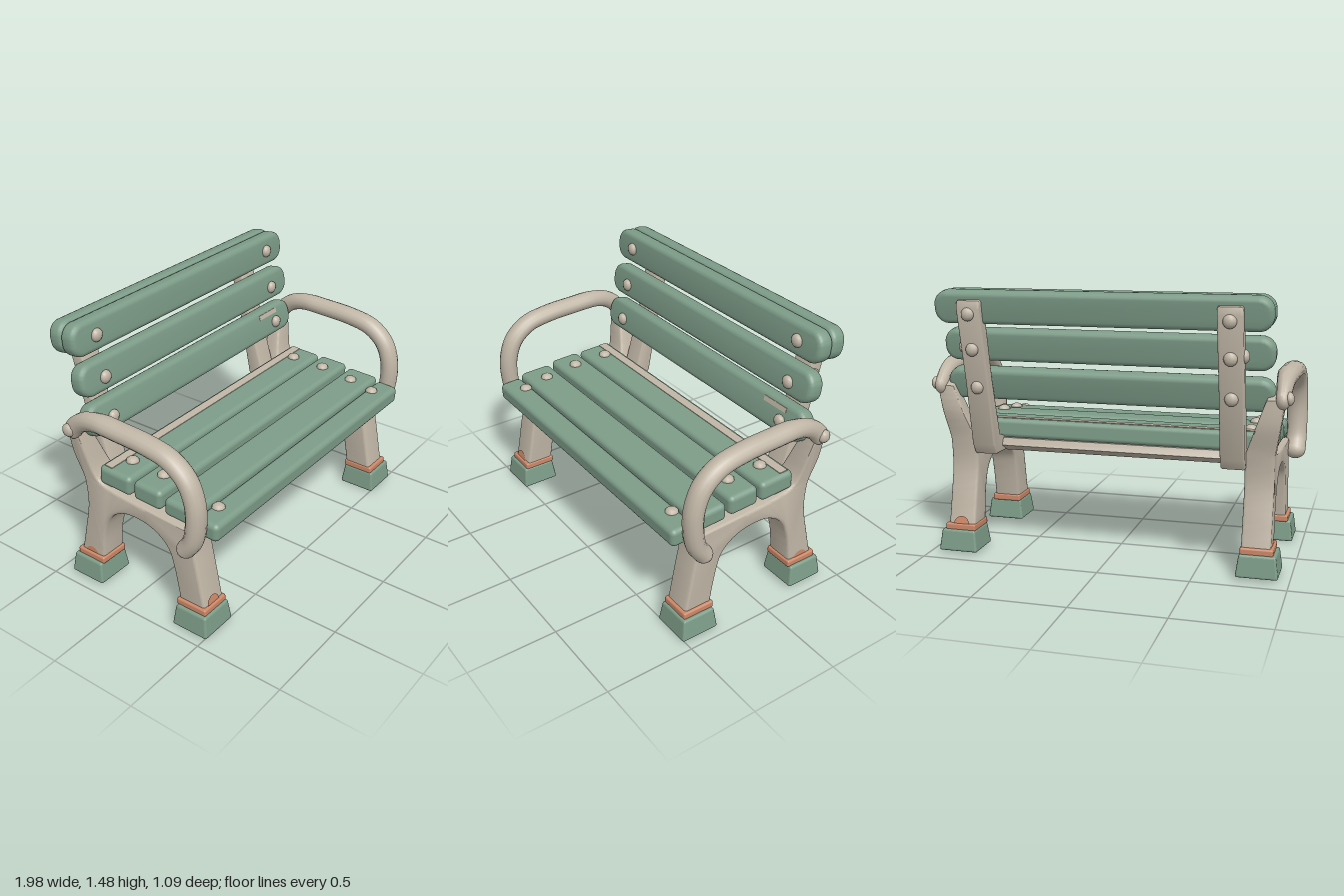
import * as THREE from 'three';
import { toCreasedNormals } from 'three/addons/utils/BufferGeometryUtils.js';
import { RoundedBoxGeometry } from 'three/addons/geometries/RoundedBoxGeometry.js';

const material = (name, color) => {
  const m = new THREE.MeshStandardMaterial({ color });
  m.name = name;
  return m;
};

export function createModel() {
  const green = material('green paint', 0x7d9c88);
  const beige = material('beige iron', 0xc0b6a6);
  const orange = material('orange trim', 0xcd8868);
  const bench = new THREE.Group();
  bench.name = 'bench';

  const add = (name, geometry, mat, x = 0, y = 0, z = 0, parent = bench) => {
    const mesh = new THREE.Mesh(geometry, mat);
    mesh.name = name;
    mesh.position.set(x, y, z);
    parent.add(mesh);
    return mesh;
  };

  // Extrude a flat shape with rounded edges, centred on its thickness
  const slab = (shape, depth, bevel) => {
    const geo = new THREE.ExtrudeGeometry(shape, {
      depth: depth - 2 * bevel, curveSegments: 8,
      bevelEnabled: true, bevelSize: bevel, bevelThickness: bevel, bevelOffset: -bevel, bevelSegments: 3,
    });
    return geo.translate(0, 0, bevel - depth / 2);
  };
  // Side profile given as (z, y), thickness along x
  const sideSlab = (shape, depth, bevel) => slab(shape, depth, bevel).rotateY(-Math.PI / 2);
  const vecs = (list) => list.map(([a, b]) => new THREE.Vector2(a, b));

  // Side frame: both legs, the arch and the upright that carries the armrest
  const frameShape = new THREE.Shape();
  frameShape.moveTo(0.468, 0.14);
  frameShape.splineThru(vecs([[0.43, 0.34], [0.4, 0.5], [0.405, 0.59]]));
  frameShape.lineTo(0.1, 0.605);
  frameShape.splineThru(vecs([[-0.1, 0.62], [-0.2, 0.645], [-0.24, 0.7], [-0.27, 0.83], [-0.3, 0.98]]));
  frameShape.lineTo(-0.355, 0.94);
  frameShape.splineThru(vecs([[-0.355, 0.8], [-0.32, 0.64], [-0.31, 0.48], [-0.345, 0.3], [-0.38, 0.15]]));
  frameShape.lineTo(-0.22, 0.15);
  frameShape.splineThru(vecs([[-0.2, 0.32], [-0.155, 0.44], [-0.07, 0.505], [0.03, 0.52], [0.14, 0.5],
    [0.23, 0.435], [0.27, 0.33], [0.306, 0.14]]));

  // Back post with a bent foot under the seat
  const postShape = new THREE.Shape(vecs([[-0.15, 0.56], [-0.325, 0.565], [-0.36, 0.62], [-0.43, 0.98],
    [-0.53, 1.38], [-0.52, 1.42], [-0.475, 1.43], [-0.45, 1.39], [-0.36, 0.98], [-0.27, 0.67], [-0.15, 0.63]]));
  const postGeo = toCreasedNormals(sideSlab(postShape, 0.13, 0.012), 0.6);

  // Armrest path in the side plane
  const armCurve = new THREE.CatmullRomCurve3([[0.395, 0.525], [0.435, 0.585], [0.455, 0.69], [0.45, 0.81],
    [0.405, 0.92], [0.31, 0.995], [0.17, 1.025], [0, 1.035], [-0.15, 1.037], [-0.24, 1.015],
    [-0.3, 0.975], [-0.33, 0.94]].map(([z, y]) => new THREE.Vector3(0, y, z)));
  const armX = (z) => (z < -0.1 ? Math.max(0.75, 1.18 + (z + 0.1) * 1.9) : 1.18);

  const boltGeo = new THREE.SphereGeometry(0.036, 10, 8);
  const bolt = (x, y, z, axis = 'z') => {
    const b = add('bolt', boltGeo, beige, x, y, z);
    b.scale[axis] = 0.7;
  };

  // Tapered box by pulling in the upper corners
  const taper = (w, h, d, k) => {
    const geo = new RoundedBoxGeometry(w, h, d, 2, 0.012);
    const p = geo.attributes.position;
    for (let i = 0; i < p.count; i++) {
      const f = 1 - k * (p.getY(i) / h + 0.5);
      p.setX(i, p.getX(i) * f);
      p.setZ(i, p.getZ(i) * f);
    }
    geo.computeVertexNormals();
    return geo;
  };
  const footGeo = taper(0.225, 0.12, 0.22, 0.14);
  const trimGeo = new RoundedBoxGeometry(0.175, 0.04, 0.185, 2, 0.01);
  const patchGeo = new THREE.CircleGeometry(0.045, 16, 0, Math.PI);

  for (const s of [1, -1]) {
    // The upright leans outwards above the seat
    const frameGeo = sideSlab(frameShape, 0.155, 0.015);
    const p = frameGeo.attributes.position;
    for (let i = 0; i < p.count; i++) {
      const t = Math.max(0, p.getY(i) - 0.64);
      p.setX(i, p.getX(i) * (1 - 1.2 * t) + s * (0.82 + 0.27 * t));
    }
    add('sideFrame', toCreasedNormals(frameGeo, 0.6), beige);

    add('backPost', postGeo, beige, s * 0.685);

    // Armrest, thinner towards the back, with round ends
    const armGeo = new THREE.TubeGeometry(armCurve, 48, 0.05, 14, false);
    const a = armGeo.attributes.position;
    for (let i = 0; i < a.count; i++) a.setX(i, a.getX(i) * armX(a.getZ(i)));
    add('armrest', toCreasedNormals(armGeo, 1), beige, s * 0.933);
    for (const t of [0, 1]) {
      const end = armCurve.getPoint(t);
      add('armrestEnd', new THREE.SphereGeometry(0.05, 14, 10), beige, s * 0.933, end.y, end.z)
        .scale.x = armX(end.z);
    }
    bolt(s * 0.965, 0.95, -0.33, 'x');

    // Feet and trim rings
    for (const [z, y] of [[0.4, 0], [-0.31, 0.015]]) {
      add('foot', footGeo, green, s * 0.832, y + 0.06, z);
      add('footTrim', trimGeo, orange, s * 0.825, y + 0.133, z - Math.sign(z) * 0.01);
    }
    add('paintPatch', patchGeo, orange, s * 0.9, 0.155, -0.3).rotation.y = s * Math.PI / 2;

    // Bolts on slats and posts
    for (const [y, z] of [[1.39, -0.318], [1.17, -0.277], [0.955, -0.238]]) bolt(s * 0.73, y, z);
    for (const [y, z] of [[1.35, -0.525], [1.16, -0.48], [0.95, -0.425]]) bolt(s * 0.685, y, z);
    bolt(s * 0.75, 1.17, -0.43, 'x');
    for (const [y, z] of [[0.68, 0.445], [0.71, 0.3], [0.735, 0.1], [0.74, -0.11]]) bolt(s * 0.745, y, z, 'y');
  }
  const frontPatch = add('paintPatch', patchGeo, orange, -0.83, 0.155, 0.472);
  frontPatch.rotation.x = -0.17;
  const rearPatch = add('paintPatch', patchGeo, orange, 0.82, 0.165, -0.385);
  rearPatch.rotation.set(0.2, Math.PI, 0);

  // Back slats with round ends, leaning back
  const w = 0.893, h = 0.0875, r = 0.075;
  const slatShape = new THREE.Shape();
  slatShape.moveTo(-w + r, -h);
  slatShape.absarc(w - r, -h + r, r, -Math.PI / 2, 0);
  slatShape.absarc(w - r, h - r, r, 0, Math.PI / 2);
  slatShape.absarc(-w + r, h - r, r, Math.PI / 2, Math.PI);
  slatShape.absarc(-w + r, -h + r, r, Math.PI, Math.PI * 1.5);
  const slatGeo = toCreasedNormals(slab(slatShape, 0.09, 0.025), 0.7);
  let slat;
  for (const [y, z, lean] of [[1.385, -0.445, 0.17], [1.387, -0.365, 0.1], [1.175, -0.325, 0.16], [0.96, -0.29, 0.24]]) {
    slat = add('backSlat', slatGeo, green, 0, y, z);
    slat.rotation.x = -lean;
  }
  // Worn spot on the lowest back slat
  add('wornPaint', new THREE.BoxGeometry(0.17, 0.028, 0.006), beige, 0.67, 0.05, 0.0445, slat);

  // Seat slats: centre y, centre z, height, depth
  for (const [y, z, sh, sd] of [[0.632, 0.475, 0.1, 0.135], [0.662, 0.308, 0.1, 0.196],
    [0.68, 0.1, 0.11, 0.18], [0.685, -0.115, 0.11, 0.21]]) {
    add('seatSlat', new RoundedBoxGeometry(1.775, sh, sd, 4, 0.028), green, 0, y, z).rotation.x = 0.04;
  }
  // Bare strip along the rear of the seat
  add('rearStrip', new THREE.BoxGeometry(1.73, 0.006, 0.05), beige, 0, 0.743, -0.168).rotation.x = 0.04;

  // Board under the seat
  const boardShape = new THREE.Shape(vecs([[0.37, 0.49], [0.38, 0.59], [0.1, 0.625], [-0.23, 0.64],
    [-0.25, 0.6], [-0.18, 0.56], [0.03, 0.525], [0.2, 0.505]]));
  add('seatBoard', toCreasedNormals(sideSlab(boardShape, 1.56, 0.008), 0.5), beige);

  return bench;
}
